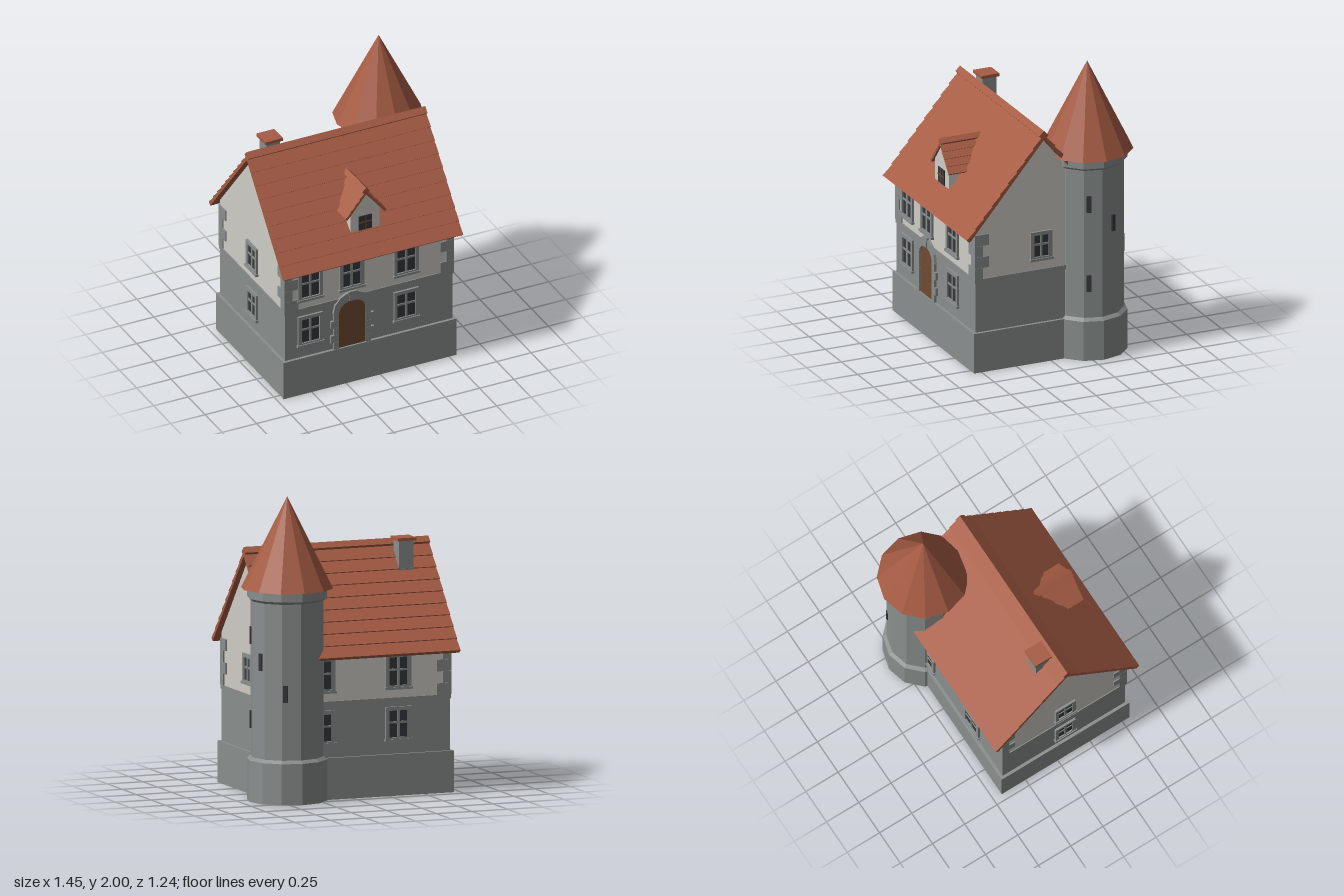
import * as THREE from 'three';

const material = (name, color) => {
  const m = new THREE.MeshStandardMaterial({ color });
  m.name = name;
  return m;
};

export function createModel() {
  const stone = material('grey stone', 0x8a8f8e);
  const plaster = material('pale plaster', 0xd0cdc7);
  const tile = material('red roof tile', 0xa65c44);
  const glass = material('dark glass', 0x36383a);
  const wood = material('brown wood', 0x6f4b31);

  const house = new THREE.Group();
  house.name = 'towerHouse';
  const CX = -0.075, CZ = 0.06, HX = 0.61, HZ = 0.475;

  const add = (parent, name, geo, mat, x = 0, y = 0, z = 0) => {
    const m = new THREE.Mesh(geo, mat);
    m.name = name;
    m.position.set(x, y, z);
    parent.add(m);
    return m;
  };
  const box = (parent, name, mat, w, h, d, x, y, z) =>
    add(parent, name, new THREE.BoxGeometry(w, h, d), mat, x, y, z);
  const extrude = (pts, depth) => new THREE.ExtrudeGeometry(
    new THREE.Shape(pts.map(p => new THREE.Vector2(p[0], p[1]))), { depth, bevelEnabled: false });
  const faceted = (pts, sides) => {
    const g = new THREE.LatheGeometry(pts.map(p => new THREE.Vector2(p[0], p[1])), sides).toNonIndexed();
    g.computeVertexNormals();
    return g;
  };

  // Gabled roof with overlapping tile courses, extruded along z
  const tiledRoof = (apex, halfSpan, drop, courses, thin, thick, depth) => {
    const len = Math.hypot(halfSpan, drop);
    const nx = drop / len, ny = halfSpan / len;
    const side = [];
    for (let i = 0; i < courses; i++) {
      for (const [t, h] of [[i / courses, thin], [(i + 1) / courses, thick]]) {
        const first = i === 0 && h === thin;
        side.push(first ? [0, apex + thin / ny] : [t * halfSpan + nx * h, apex - t * drop + ny * h]);
      }
    }
    side.push([halfSpan, apex - drop]);
    const left = side.slice(1).reverse().map(([x, y]) => [-x, y]);
    return extrude([...left, ...side, [0, apex]], depth);
  };

  // Walls
  box(house, 'plinth', stone, HX * 2 + 0.04, 0.275, HZ * 2 + 0.04, CX, 0.1375, CZ);
  box(house, 'lowerWall', stone, HX * 2, 0.36, HZ * 2, CX, 0.45, CZ);
  box(house, 'stringCourse', stone, HX * 2 + 0.012, 0.027, HZ * 2 + 0.012, CX, 0.632, CZ);
  const upper = extrude([[-HZ, 0.63], [HZ, 0.63], [HZ, 0.99], [0, 1.557], [-HZ, 0.99]], HX * 2);
  upper.rotateY(Math.PI / 2);
  add(house, 'upperWall', upper, plaster, CX - HX, 0, CZ);

  // Corner stones, alternating long and short
  for (const [sx, sz] of [[-1, 1], [1, 1], [-1, -1]]) {
    for (let k = 0; k < 4; k++) {
      const w = k % 2 ? 0.058 : 0.1, d = k % 2 ? 0.1 : 0.058;
      box(house, 'cornerStone', stone, w, 0.0765, d,
        CX + sx * (HX + 0.008 - w / 2), 0.684 + k * 0.0775, CZ + sz * (HZ + 0.008 - d / 2));
    }
  }

  // Main roof and ridge
  const mainRoof = tiledRoof(1.56, 0.533, 0.635, 9, 0.02, 0.03, 1.301);
  mainRoof.rotateY(Math.PI / 2);
  add(house, 'mainRoof', mainRoof, tile, -0.728, 0, CZ);
  box(house, 'ridgeCap', tile, 1.301, 0.048, 0.048, -0.0775, 1.588, CZ).rotation.x = Math.PI / 4;

  // Framed window facing +z, origin at its centre on the wall
  const makeWindow = (x, y, z, turn, w, h) => {
    const g = new THREE.Group();
    g.name = 'window';
    const b = 0.025;
    box(g, 'pane', glass, w - b, h - b, 0.006, 0, 0, 0.002);
    for (const s of [-1, 1]) {
      box(g, 'frameSide', stone, b, h, 0.024, s * (w - b) / 2, 0, 0.003);
      box(g, 'frameRail', stone, w - 2 * b, b, 0.024, 0, s * (h - b) / 2, 0.003);
    }
    box(g, 'mullion', stone, 0.016, h - 2 * b, 0.014, 0, 0, 0.004);
    box(g, 'transom', stone, w - 2 * b, 0.014, 0.012, 0, 0.01, 0.004);
    box(g, 'sill', stone, w + 0.014, 0.016, 0.036, 0, -h / 2 + 0.006, 0.004);
    g.position.set(x, y, z);
    g.rotation.y = turn;
    house.add(g);
  };
  const front = CZ + HZ, back = CZ - HZ;
  for (const x of [-0.505, -0.203, 0.193]) makeWindow(x, 0.82, front, 0, 0.18, 0.236);
  for (const x of [-0.505, 0.193]) makeWindow(x, 0.473, front, 0, 0.18, 0.226);
  for (const x of [-0.32, 0.215]) {
    makeWindow(x, 0.82, back, Math.PI, 0.18, 0.236);
    makeWindow(x, 0.473, back, Math.PI, 0.18, 0.226);
  }
  makeWindow(CX + HX, 0.812, 0.065, Math.PI / 2, 0.155, 0.2);
  makeWindow(CX - HX, 0.812, 0.065, -Math.PI / 2, 0.155, 0.2);
  makeWindow(CX - HX, 0.46, 0.065, -Math.PI / 2, 0.155, 0.2);

  // Arched door with stone surround
  const door = new THREE.Group();
  door.name = 'door';
  door.position.set(-0.202, 0, front);
  house.add(door);
  const spring = 0.545;
  const arc = (rx, ry, a) => [Math.cos(a) * rx, spring + Math.sin(a) * ry];
  const leaf = [[-0.1, 0.275], [0.1, 0.275]];
  for (let i = 0; i <= 8; i++) leaf.push(arc(0.1, 0.078, i * Math.PI / 8));
  add(door, 'doorLeaf', extrude(leaf, 0.008), wood);
  for (let i = 0; i < 7; i++) {
    const a = i * Math.PI / 7, b = a + Math.PI / 7, key = i === 3;
    const rx = 0.14, ry = key ? 0.148 : 0.14;
    add(door, key ? 'keystone' : 'archStone', extrude(
      [arc(0.098, 0.076, a), arc(rx, ry, a), arc(rx, ry, b), arc(0.098, 0.076, b)], key ? 0.024 : 0.018), stone);
  }
  for (const s of [-1, 1]) {
    for (let k = 0; k < 5; k++) {
      const w = k % 2 ? 0.058 : 0.036;
      box(door, 'jambStone', stone, w, 0.053, 0.036, s * (0.099 + w / 2), 0.302 + k * 0.054, 0);
    }
  }

  // Dormer
  const dormer = new THREE.Group();
  dormer.name = 'dormer';
  dormer.position.x = -0.08;
  house.add(dormer);
  add(dormer, 'dormerWall', extrude(
    [[-0.105, 1.05], [0.105, 1.05], [0.105, 1.245], [0, 1.37], [-0.105, 1.245]], 0.28), plaster, 0, 0, 0.21);
  add(dormer, 'dormerRoof', tiledRoof(1.365, 0.135, 0.163, 4, 0.013, 0.02, 0.3), tile, 0, 0, 0.205);
  box(dormer, 'dormerRidge', tile, 0.04, 0.04, 0.3, 0, 1.387, 0.355).rotation.z = Math.PI / 4;
  box(dormer, 'dormerPane', glass, 0.095, 0.105, 0.008, 0, 1.148, 0.492);
  box(dormer, 'dormerMullion', wood, 0.01, 0.105, 0.008, 0, 1.148, 0.495);
  box(dormer, 'dormerTransom', wood, 0.095, 0.01, 0.008, 0, 1.153, 0.495);

  // Chimney
  box(house, 'chimneyStack', stone, 0.1, 0.26, 0.1, -0.515, 1.492, -0.03);
  box(house, 'chimneyCap', tile, 0.13, 0.02, 0.13, -0.515, 1.63, -0.03);

  // Twelve-sided tower
  const tower = new THREE.Group();
  tower.name = 'tower';
  tower.position.set(0.422, 0, -0.32);
  house.add(tower);
  add(tower, 'towerWall', faceted([[0, 0], [0.264, 0], [0.264, 0.272], [0.24, 0.292], [0.24, 1.32],
    [0.263, 1.338], [0.263, 1.402]], 12), stone);
  add(tower, 'towerRoof', faceted([[0.25, 1.398], [0.303, 1.398], [0, 2]], 12), tile);

  // Arrow slits winding down the tower
  for (const [deg, y] of [[22, 1.085], [-21, 0.93], [-65, 0.73], [22, 0.532]]) {
    const a = deg * Math.PI / 180;
    const slit = box(tower, 'arrowSlit', glass, 0.03, 0.113, 0.028,
      Math.cos(a) * 0.23, y, Math.sin(a) * 0.23);
    slit.rotation.y = Math.PI / 2 - a;
  }

  return house;
}
